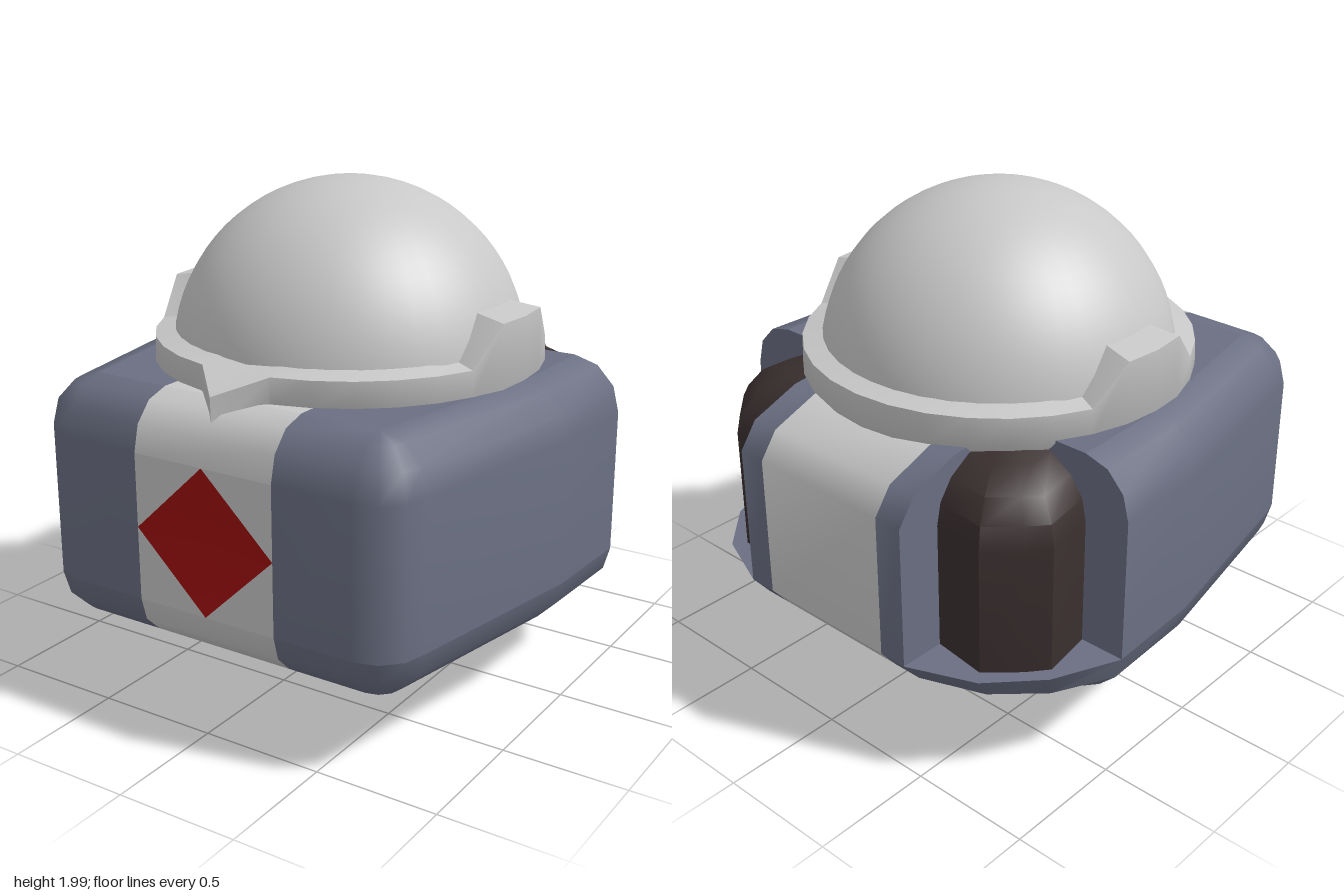
import * as THREE from 'three';
import { toCreasedNormals } from 'three/addons/utils/BufferGeometryUtils.js';

const material = (name, color) => {
  const m = new THREE.MeshStandardMaterial({ color });
  m.name = name;
  return m;
};

// Surface from stacked rings of [x, y, z]; keep(a, b, level) selects side segments
function loft(rings, keep = () => true, closed = true) {
  const n = rings[0].length, index = [];
  for (let j = 0; j < rings.length - 1; j++) {
    for (let i = 0; i < (closed ? n : n - 1); i++) {
      const k = (i + 1) % n;
      if (!keep(rings[j][i], rings[j][k], j)) continue;
      const a = j * n + i, b = j * n + k;
      index.push(a, b, b + n, a, b + n, a + n);
    }
  }
  return finish(rings.flat(2), index);
}

function finish(positions, index) {
  const g = new THREE.BufferGeometry();
  g.setAttribute('position', new THREE.Float32BufferAttribute(positions, 3));
  g.setIndex(index);
  return toCreasedNormals(g, 0.7);
}

// Flat horizontal polygon from [x, z] points, facing up or down
function slab(points, y, up = true) {
  const s = up ? -1 : 1;
  const shape = new THREE.Shape(points.map(([x, z]) => new THREE.Vector2(x, s * z)));
  return new THREE.ShapeGeometry(shape).rotateX(up ? -Math.PI / 2 : Math.PI / 2).translate(0, y, 0);
}

const flip = (pts) => pts.map(([x, z]) => [-x, z]);
const loop = (half) => [...half, ...flip(half).reverse()];

export function createModel() {
  const model = new THREE.Group();
  const blue = material('slate blue', 0x6a6f82);
  const light = material('light grey', 0xc8c8c8);
  const red = material('deep red', 0xa01010);
  const dark = material('dark brown', 0x3a2f2f);
  const add = (name, geometry, mat) => {
    const mesh = new THREE.Mesh(geometry, mat);
    mesh.name = name;
    model.add(mesh);
  };

  // Half plan of the body: full outline and the smaller outline of its flat faces
  const front = [[0.31, 0.99], [0.64, 0.99], [0.735, 0.965], [0.805, 0.895], [0.83, 0.8], [0.98, 0], [1, -0.43]];
  const frontIn = [[0.31, 0.8], [0.64, 0.8], [0.64, 0.8], [0.64, 0.8], [0.64, 0.8], [0.79, 0], [0.8, -0.43]];
  const corner = [[0.88, -0.7], [0.7, -0.89]], cornerIn = [[0.7, -0.43], [0.57, -0.43]];
  const back = [[0.43, -1], [0.31, -1]], backIn = [[0.43, -0.43], [0.31, -0.43]];
  const notch = [[0.43, -0.43]];

  const ring = (outer, inner, t, y) => loop(outer).map(([x, z], i) => {
    const [u, w] = loop(inner)[i];
    return [x + (u - x) * t, y, z + (w - z) * t];
  });
  const lower = [], upper = [];
  for (let k = 0; k <= 3; k++) {
    const a = k * Math.PI / 6;
    lower.push(ring([...front, ...corner, ...back], [...frontIn, ...cornerIn, ...backIn],
      1 - Math.sin(a), 0.48 - 0.19 * Math.cos(a)));
    upper.push(ring([...front, ...notch, ...back], [...frontIn, ...notch, ...backIn],
      1 - Math.cos(a), 1.07 + 0.21 * Math.sin(a)));
  }
  upper.unshift(ring([...front, ...notch, ...back], [...frontIn, ...notch, ...backIn], 0, 0.48));

  const inStripe = (a, b) => Math.abs(a[0]) < 0.32 && Math.abs(b[0]) < 0.32;
  const notStripe = (a, b) => !inStripe(a, b);
  add('lowerBody', loft(lower, notStripe), blue);
  add('upperBody', loft(upper, notStripe), blue);
  add('lowerStripe', loft(lower, inStripe), light);
  // the flat front of the stripe is left out for the gem recess
  add('upperStripe', loft(upper, (a, b, j) => inStripe(a, b) && !(j === 0 && a[2] > 0)), light);

  // Flat top and bottom, with the stripe running across
  const sidePlate = [...frontIn.slice(0, 2), ...frontIn.slice(5), ...backIn];
  const stripePlate = [[0.31, 0.8], [0.31, -0.43], [-0.31, -0.43], [-0.31, 0.8]];
  for (const [label, y, up] of [['top', 1.28, true], ['bottom', 0.29, false]]) {
    add(label + 'PlateLeft', slab(sidePlate, y, up), blue);
    add(label + 'PlateRight', slab(flip(sidePlate), y, up), blue);
    add(label + 'Stripe', slab(stripePlate, y, up), light);
  }

  // Rear corner niches: floor ledge and dark rounded insert
  const ledge = [...notch, [1, -0.43], ...corner, [0.43, -1]];
  const insert = [[0.81, -0.43], [0.845, -0.65], [0.78, -0.73], [0.66, -0.84], [0.43, -0.81]];
  for (const side of [1, -1]) {
    const label = side > 0 ? 'Left' : 'Right';
    add('nicheLedge' + label, slab(side > 0 ? ledge : flip(ledge), 0.48), blue);
    const outline = side > 0 ? insert : flip(insert).reverse();
    const rings = [[0, 0.48], [0, 1.0], [0.05, 1.09], [0.2, 1.17], [0.45, 1.23], [1, 1.26]].map(([t, y]) =>
      outline.map(([x, z]) => [x + (side * 0.43 - x) * t, y, z + (-0.43 - z) * t]));
    add('nicheInsert' + label, loft(rings, undefined, false), dark);
  }

  // Stripe corners around the gem, and the shallow recessed gem
  const w = 0.31, h = 0.295, cy = 0.775, z = 0.99;
  const corners = [];
  for (const [sx, sy] of [[1, 1], [-1, 1], [-1, -1], [1, -1]]) {
    const tri = [[sx * w, cy, z], [sx * w, cy + sy * h, z], [0, cy + sy * h, z]];
    corners.push(...(sx * sy > 0 ? tri : tri.reverse()).flat());
  }
  add('gemSurround', finish(corners, [...Array(12).keys()]), light);
  add('frontGem', finish([0, cy, z - 0.06, w, cy, z, 0, cy + h, z, -w, cy, z, 0, cy - h, z],
    [0, 1, 2, 0, 2, 3, 0, 3, 4, 0, 4, 1]), red);

  // Four-sided point underneath
  const point = new THREE.ConeGeometry(0.285 * Math.SQRT2, 0.285, 4).toNonIndexed();
  point.computeVertexNormals();
  point.rotateY(Math.PI / 4).rotateX(Math.PI).translate(0, 0.1425, 0);
  add('bottomPoint', point, light);

  // Dome
  add('dome', new THREE.SphereGeometry(0.715, 40, 20, 0, Math.PI * 2, 0, Math.PI * 0.55).translate(0, 1.275, 0), light);

  // Collar around the dome, with raised ears at the sides and a beak in front
  const sections = [[], [], [], [], []];
  for (let i = 0; i < 32; i++) {
    const a = i * Math.PI / 16;
    const fromSide = Math.abs((i % 16) - 8);
    const ear = fromSide <= 1, nearEar = fromSide <= 2, beak = i === 0;
    const top = beak ? 1.32 : ear ? 1.53 : 1.38;
    const profile = [
      [0.66, 1.2],
      [beak ? 0.8 : 0.74, beak ? 1.17 : 1.2],
      [beak ? 0.92 : 0.79, beak ? 1.185 : 1.27],
      [beak ? 0.925 : 0.785, top],
      [nearEar ? 0.65 : 0.7, beak ? 1.39 : top + 0.02],
    ];
    profile.forEach(([r, y], k) => sections[k].push([r * Math.sin(a), y, r * Math.cos(a)]));
  }
  add('collar', loft(sections), light);

  return model;
}
